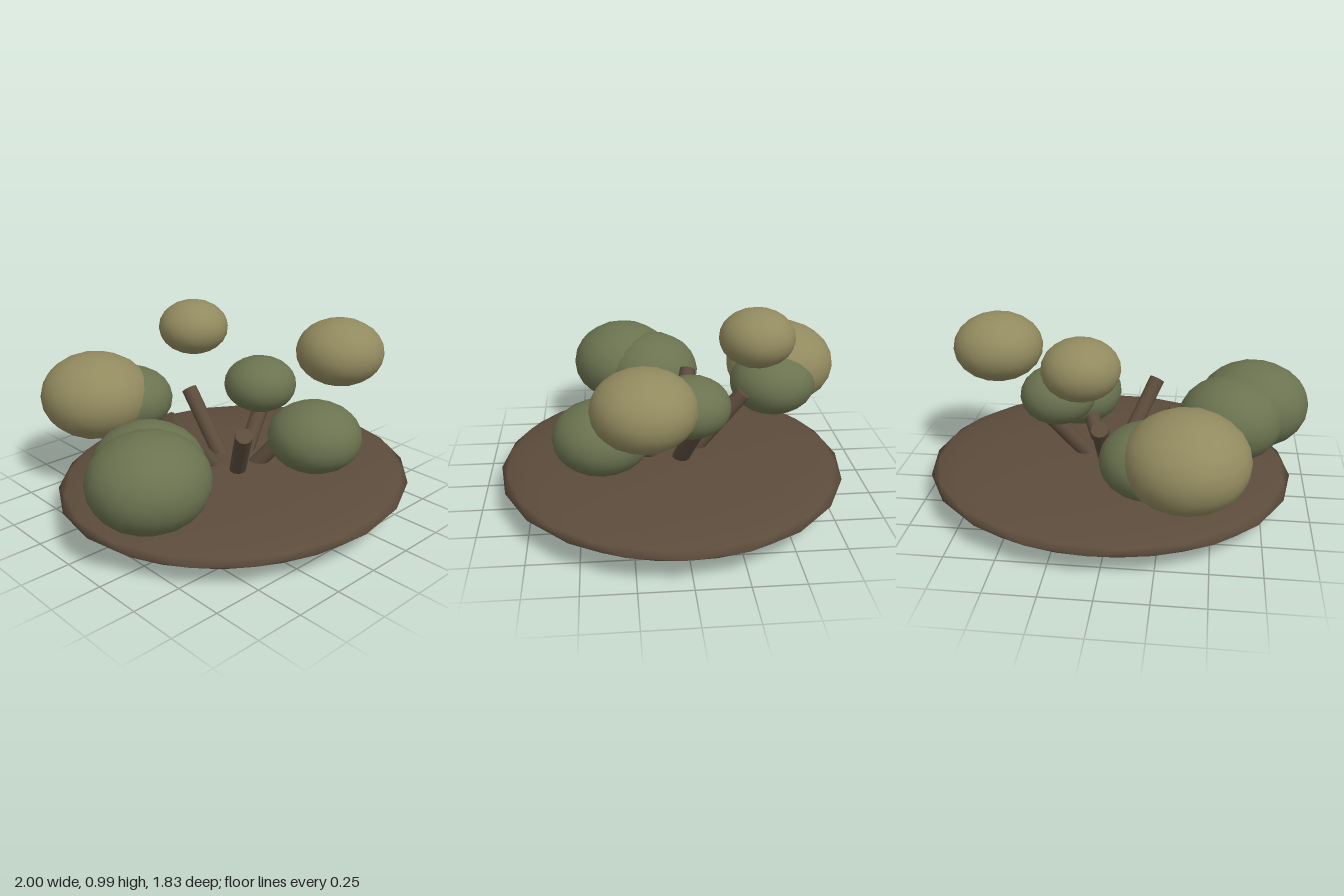
import * as THREE from 'three';
import { mergeVertices } from 'three/addons/utils/BufferGeometryUtils.js';

const bark = new THREE.MeshStandardMaterial({ name: 'bark brown', color: 0x5c4c3c });
const green = new THREE.MeshStandardMaterial({ name: 'leaf green', color: 0x6b7350 });
const yellow = new THREE.MeshStandardMaterial({ name: 'leaf olive yellow', color: 0x928a5f });

// Smooth icosphere with a vertex at each pole, squashed to the given radii
function blob(name, material, [x, y, z], [rx, ry, rz]) {
  let g = new THREE.IcosahedronGeometry(1, 3);
  g.deleteAttribute('uv');
  g.deleteAttribute('normal');
  g = mergeVertices(g, 1e-4);
  g.rotateZ(Math.atan(2 / (1 + Math.sqrt(5))));
  g.scale(rx, ry, rz);
  g.computeVertexNormals();
  const mesh = new THREE.Mesh(g, material);
  mesh.name = name;
  mesh.position.set(x, y, z);
  return mesh;
}

// Round limb between two points
function limb(name, a, b, radius) {
  const dir = b.clone().sub(a);
  const mesh = new THREE.Mesh(new THREE.CylinderGeometry(radius, radius, dir.length(), 10), bark);
  mesh.name = name;
  mesh.position.copy(a).add(b).multiplyScalar(0.5);
  mesh.quaternion.setFromUnitVectors(new THREE.Vector3(0, 1, 0), dir.normalize());
  return mesh;
}

export function createModel() {
  const group = new THREE.Group();
  group.name = 'bush';
  const cx = 0.045, cz = 0.025;

  // Flat earth mound, slightly tilted
  const mound = blob('mound', bark, [cx, 0.134, cz], [0.953, 0.086, 0.886]);
  mound.rotation.z = 0.02;
  group.add(mound);

  // Root stub under the mound
  const root = new THREE.Mesh(new THREE.CylinderGeometry(0.085, 0.034, 0.07, 8), bark);
  root.name = 'root';
  root.position.set(cx, 0.035, cz);
  group.add(root);

  // Five branches fanning outward
  for (let i = 0; i < 5; i++) {
    const a = THREE.MathUtils.degToRad(55 + 72 * i);
    const at = (r, y) => new THREE.Vector3(cx + r * Math.cos(a), y, cz + r * Math.sin(a));
    group.add(limb('branch', at(0.05, 0.12), at(0.372, 0.51), 0.043));
  }

  // Foliage clumps: material, centre, radii
  const clumps = [
    [green, [-0.705, 0.423, 0.25], [0.295, 0.23, 0.285]],
    [green, [-0.585, 0.4, 0.095], [0.275, 0.22, 0.275]],
    [yellow, [-0.377, 0.512, -0.62], [0.295, 0.23, 0.298]],
    [green, [-0.2, 0.467, -0.55], [0.23, 0.175, 0.233]],
    [yellow, [0.13, 0.84, -0.395], [0.188, 0.147, 0.19]],
    [green, [0.305, 0.558, -0.05], [0.195, 0.15, 0.197]],
    [yellow, [0.67, 0.717, 0.195], [0.24, 0.183, 0.24]],
    [green, [0.265, 0.397, 0.385], [0.24, 0.183, 0.245]],
  ];
  for (const [mat, c, r] of clumps) group.add(blob('foliage', mat, c, r));

  return group;
}
